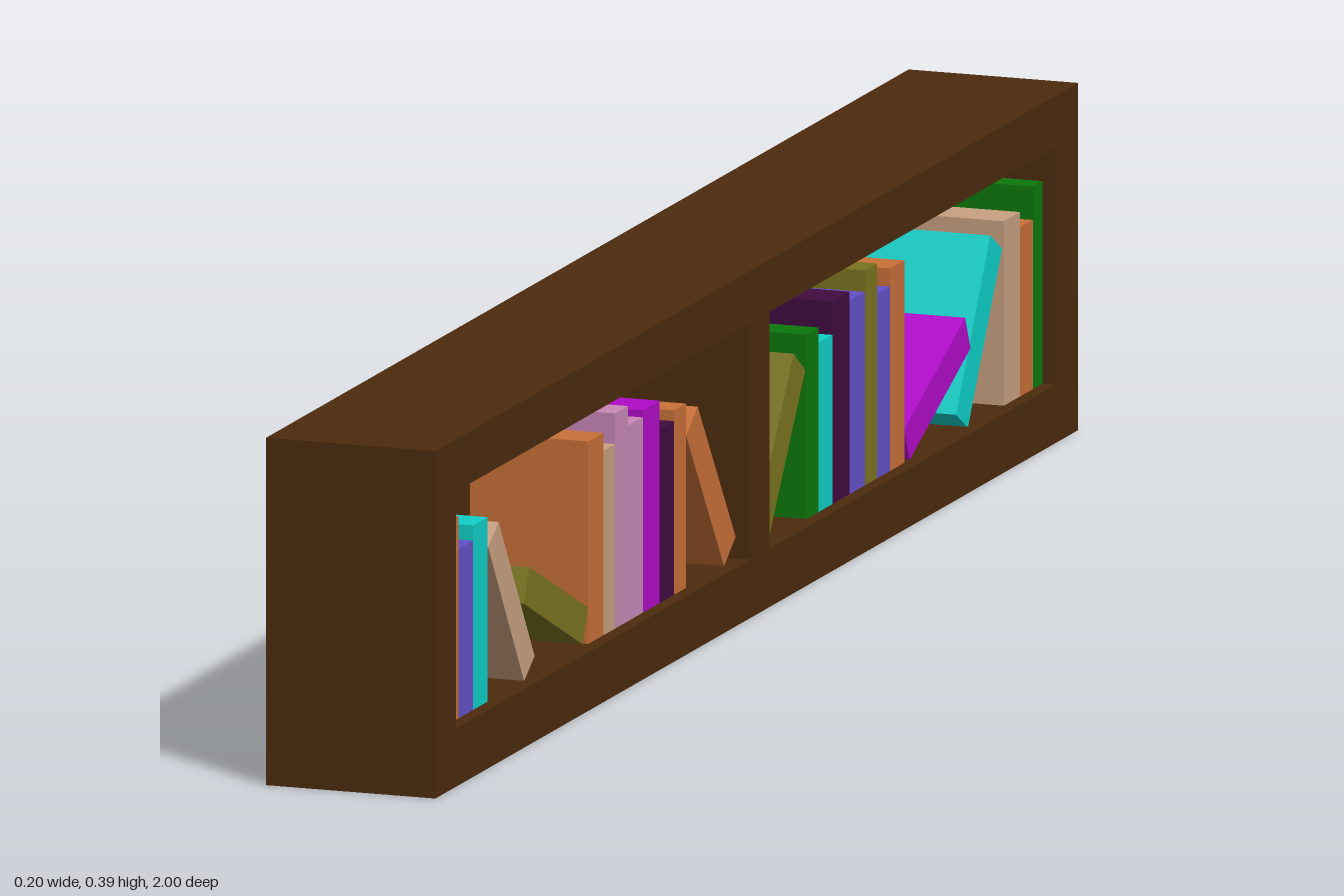
import * as THREE from 'three';

const material = (name, color) => {
  const m = new THREE.MeshStandardMaterial({ color });
  m.name = name;
  return m;
};

const FLOOR = 0.065, HEIGHT = 0.386, FRONT = 0.098, INNER_BACK = -0.055;
const BOOK_FRONT = 0.083, BOOK_DEPTH = 0.137;

// upright books: [colour, z of one side, z of other side, top y]
const uprightBooks = [
  ['orange', 0.934, 0.888, 0.29], ['blue', 0.888, 0.842, 0.253], ['cyan', 0.842, 0.797, 0.27],
  ['orange', 0.484, 0.437, 0.29], ['tan', 0.437, 0.4, 0.27], ['pink', 0.4, 0.36, 0.304],
  ['pink', 0.36, 0.314, 0.282], ['magenta', 0.314, 0.262, 0.29], ['plum', 0.262, 0.217, 0.258],
  ['orange', 0.217, 0.18, 0.27],
  ['green', -0.195, -0.233, 0.27], ['cyan', -0.233, -0.276, 0.253], ['plum', -0.276, -0.33, 0.29],
  ['blue', -0.33, -0.377, 0.28], ['olive', -0.377, -0.415, 0.304], ['blue', -0.415, -0.455, 0.27],
  ['orange', -0.455, -0.5, 0.29],
  ['tan', -0.81, -0.86, 0.27], ['orange', -0.86, -0.9, 0.253], ['green', -0.9, -0.93, 0.29],
];

// leaning books: [colour, centre z, centre y, length, thickness, lean]
const leaningBooks = [
  ['tan', 0.723, 0.161, 0.205, 0.039, 0.577],
  ['olive', 0.584, 0.128, 0.201, 0.041, 1.147],
  ['orange', 0.102, 0.162, 0.206, 0.044, 0.61],
  ['olive', -0.116, 0.161, 0.202, 0.045, -0.607],
  ['magenta', -0.603, 0.126, 0.208, 0.041, -1.147],
  ['cyan', -0.733, 0.163, 0.207, 0.043, -0.541],
];

// rectangle outline, for the frame and its openings
const rectangle = (Type, x0, y0, x1, y1) => {
  const r = new Type();
  r.moveTo(x0, y0);
  r.lineTo(x1, y0);
  r.lineTo(x1, y1);
  r.lineTo(x0, y1);
  r.closePath();
  return r;
};

export function createModel() {
  const group = new THREE.Group();
  group.name = 'bookshelf';
  const mats = {
    wood: material('darkWood', 0x4d2b0e),
    orange: material('orange', 0xc87038),
    blue: material('blue', 0x6450c8),
    cyan: material('cyan', 0x10d0c8),
    tan: material('tan', 0xc8a080),
    olive: material('olive', 0x7a7420),
    pink: material('pink', 0xc888b8),
    magenta: material('magenta', 0xb00cc8),
    plum: material('plum', 0x400c40),
    green: material('green', 0x0c780c),
  };
  const add = (name, geometry, mat, x, y, z, parent = group) => {
    const mesh = new THREE.Mesh(geometry, mat);
    mesh.name = name;
    mesh.position.set(x, y, z);
    parent.add(mesh);
    return mesh;
  };

  // case with two openings facing +x; outline x runs along -z
  const outline = rectangle(THREE.Shape, -1, 0, 1, HEIGHT);
  for (const [a, b] of [[-0.935, -0.02], [0.04, 0.932]]) {
    outline.holes.push(rectangle(THREE.Path, a, FLOOR, b, 0.328));
  }
  const frame = new THREE.ExtrudeGeometry(outline, { depth: FRONT - INNER_BACK, bevelEnabled: false });
  frame.rotateY(Math.PI / 2);
  add('caseFrame', frame, mats.wood, INNER_BACK, 0, 0);

  // back panel
  const backDepth = INNER_BACK + FRONT;
  add('backPanel', new THREE.BoxGeometry(backDepth, HEIGHT, 2), mats.wood,
    -FRONT + backDepth / 2, HEIGHT / 2, 0);

  // books
  const books = new THREE.Group();
  books.name = 'books';
  group.add(books);
  const bookX = BOOK_FRONT - BOOK_DEPTH / 2;
  for (const [colour, z0, z1, top] of uprightBooks) {
    add('uprightBook', new THREE.BoxGeometry(BOOK_DEPTH, top - FLOOR, z0 - z1), mats[colour],
      bookX, (top + FLOOR) / 2, (z0 + z1) / 2, books);
  }
  for (const [colour, z, y, length, thickness, lean] of leaningBooks) {
    const book = add('leaningBook', new THREE.BoxGeometry(BOOK_DEPTH, length, thickness), mats[colour],
      bookX, y, z, books);
    book.rotation.x = lean;
  }
  return group;
}
